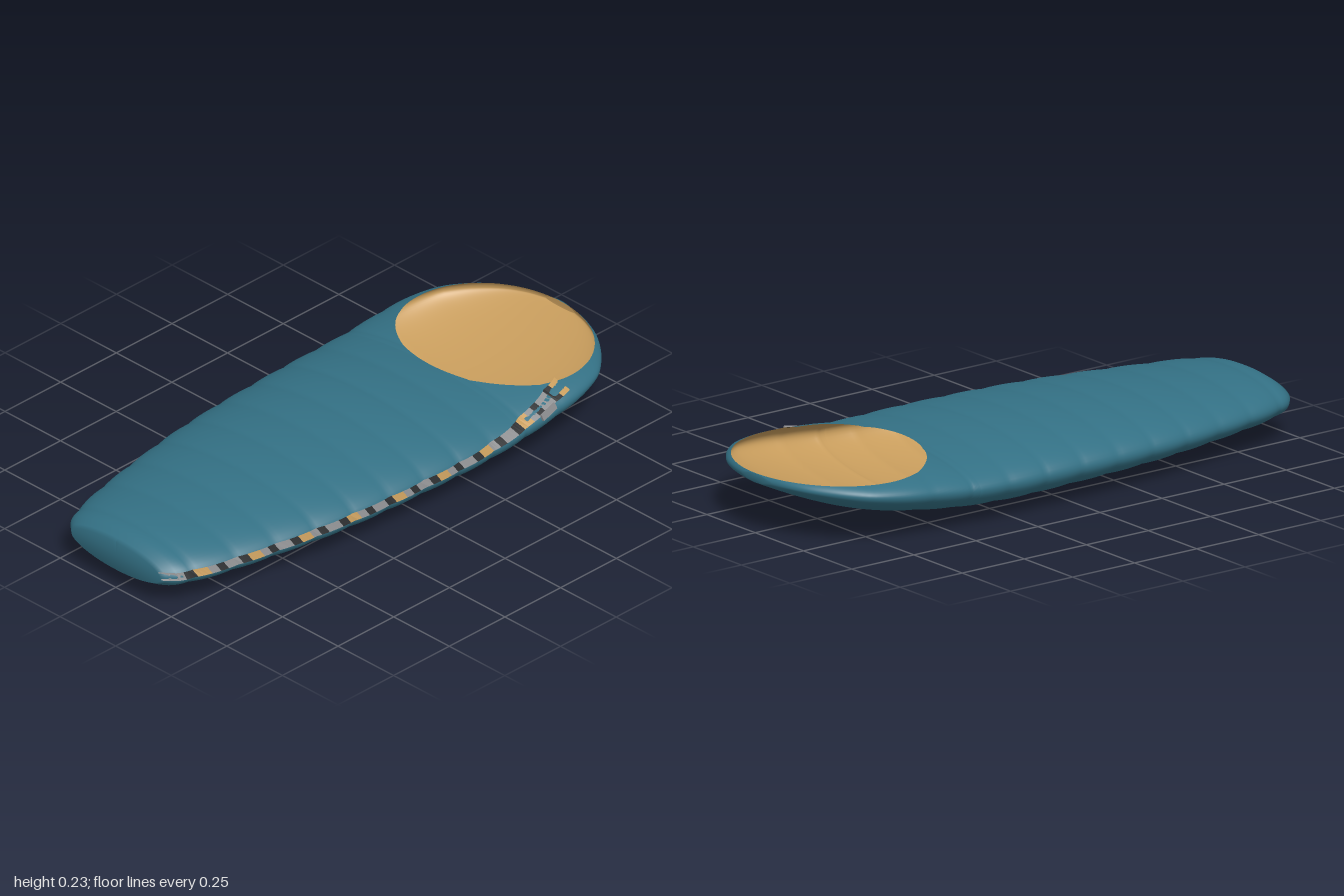
import * as THREE from 'three';

// Profiles along the bag: [z, value], foot (z = 1) to hood (z = -1)
const HALF_WIDTH = [[-1, 0.05], [-0.995, 0.08], [-0.98, 0.14], [-0.95, 0.21], [-0.9, 0.28], [-0.85, 0.33],
  [-0.8, 0.365], [-0.7, 0.395], [-0.6, 0.405], [-0.4, 0.412], [-0.2, 0.412], [0, 0.405], [0.2, 0.395],
  [0.4, 0.375], [0.6, 0.342], [0.8, 0.3], [0.9, 0.27], [0.96, 0.243], [1, 0.2]];
const BOTTOM = [[-1, 0.17], [-0.9, 0.125], [-0.8, 0.088], [-0.7, 0.06], [-0.6, 0.04], [-0.5, 0.025], [-0.4, 0.013],
  [-0.2, 0.003], [0, 0.005], [0.4, 0.014], [0.8, 0.033], [0.9, 0.04], [0.96, 0.05], [1, 0.07]];
const TOP = [[-1, 0.2], [-0.7, 0.2], [-0.6, 0.204], [-0.5, 0.212], [-0.4, 0.222], [-0.2, 0.233], [0, 0.236],
  [0.2, 0.233], [0.4, 0.227], [0.8, 0.21], [0.9, 0.206], [0.96, 0.196], [1, 0.172]];
const MIDDLE = [[-1, 0.185], [-0.8, 0.167], [-0.6, 0.148], [-0.4, 0.13], [-0.2, 0.124], [1, 0.122]];
const ZIP = [[-0.66, 0.196], [-0.5, 0.17], [-0.4, 0.153], [-0.2, 0.137], [0, 0.133], [1, 0.13]];

// Smooth interpolation through a profile
function sample(table, z) {
  let i = 0;
  while (i < table.length - 2 && z > table[i + 1][0]) i++;
  const slope = (a, b) => (table[b][1] - table[a][1]) / (table[b][0] - table[a][0]);
  const [z0, v0] = table[i], [z1, v1] = table[i + 1], d = z1 - z0;
  const m0 = slope(Math.max(i - 1, 0), i + 1) * d;
  const m1 = slope(i, Math.min(i + 2, table.length - 1)) * d;
  const t = THREE.MathUtils.clamp((z - z0) / d, 0, 1), t2 = t * t, t3 = t2 * t;
  return (2 * t3 - 3 * t2 + 1) * v0 + (t3 - 2 * t2 + t) * m0 + (3 * t2 - 2 * t3) * v1 + (t3 - t2) * m1;
}

// Elliptical face opening in the hood
const OPEN = { z: -0.703, length: 0.293, width: 0.34 };
const openFront = OPEN.z + OPEN.length;

// Cross-section at z, optionally inset for the lining
function section(z, inset = 0) {
  const q = (z - OPEN.z) / OPEN.length;
  const hole = Math.abs(q) < 1 ? OPEN.width * Math.sqrt(1 - q * q) : 0;
  const fade = THREE.MathUtils.smoothstep(z, -0.75, -0.45) * (1 - THREE.MathUtils.smoothstep(z, 0.93, 1));
  const valley = fade * (1 - Math.sqrt(Math.abs(Math.sin(Math.PI * (z - 0.01) / 0.15))));
  const quilt = 0.006 * valley;
  const y = sample(MIDDLE, z);
  const w = Math.max(sample(HALF_WIDTH, z) - quilt - inset, hole + 0.006);
  const low = y - sample(BOTTOM, z) - quilt;
  const bottom = Math.max(low - inset, low * 0.4);
  const start = Math.asin(hole / w);
  const drop = inset * THREE.MathUtils.clamp((z - openFront) / 0.1, 0, 1);
  const top = (sample(TOP, z) - quilt - drop - y) / Math.cos(start);
  return { z, y, w, top, bottom, start };
}

// Loft rings along z; the rings are open across the face opening
function loft(zs, inset, inward) {
  const n = 72, row = n + 1, pos = [], index = [], seams = [];
  const rings = zs.map(z => ({ s: 1, ...section(z, inset) }));
  rings.unshift({ ...rings[0], s: 0 });
  rings.push({ ...rings[rings.length - 1], s: 0 });
  rings.forEach((r, i) => {
    for (let j = 0; j <= n; j++) {
      const a = r.start + (2 * Math.PI - 2 * r.start) * j / n, c = Math.cos(a);
      pos.push(r.s * r.w * Math.sin(a), r.y + r.s * c * (c > 0 ? r.top : r.bottom), r.z);
      if (i === rings.length - 1 || j === n) continue;
      const p = i * row + j;
      const quad = [p, p + 1, p + row, p + 1, p + row + 1, p + row];
      index.push(...(inward ? quad.reverse() : quad));
    }
    if (r.start < 1e-4) seams.push(i * row, i * row + n);
  });
  const g = new THREE.BufferGeometry();
  g.setAttribute('position', new THREE.Float32BufferAttribute(pos, 3));
  g.setIndex(index);
  g.computeVertexNormals();
  // Smooth the join along the top centre line
  const nor = g.attributes.normal, v = new THREE.Vector3();
  for (const k of seams) {
    v.fromBufferAttribute(nor, k).setX(0).normalize();
    nor.setXYZ(k, v.x, v.y, v.z);
  }
  return g;
}

// Zip tape: short coloured patches laid on the left side
function zipGeometry() {
  const pos = [], g = new THREE.BufferGeometry();
  const point = (z, side) => {
    const s = section(z);
    const y = sample(ZIP, z) + side * 0.0125;
    const k = (y - s.y) / (y > s.y ? s.top : s.bottom);
    return [s.w * Math.sqrt(Math.max(0, 1 - k * k)) + 0.004, y, z];
  };
  const pattern = [[0, 0.055], [1, 0.032], [2, 0.045], [0, 0.03], [1, 0.028]];
  let z = 0.998;
  for (let i = 0; z > -0.64; i++) {
    const [colour, length] = pattern[i % pattern.length];
    const first = pos.length / 3, steps = 3;
    const end = Math.max(z - length, -0.65);
    for (let k = 0; k < steps; k++) {
      const za = z + (end - z) * k / steps, zb = z + (end - z) * (k + 1) / steps;
      const lean = q => Math.max(q - 0.014 * THREE.MathUtils.smoothstep(0.99 - q, 0, 0.1), -0.66);
      const a = point(za, 1), b = point(lean(za), -1), c = point(lean(zb), -1), d = point(zb, 1);
      pos.push(...a, ...b, ...c, ...a, ...c, ...d);
    }
    g.addGroup(first, pos.length / 3 - first, colour);
    z = end;
  }
  g.setAttribute('position', new THREE.Float32BufferAttribute(pos, 3));
  g.computeVertexNormals();
  return g;
}

export function createModel() {
  const material = (name, color, side = THREE.FrontSide) => {
    const m = new THREE.MeshStandardMaterial({ color, side });
    m.name = name;
    return m;
  };
  const teal = material('teal fabric', 0x337084, THREE.DoubleSide);
  const tan = material('tan lining', 0xc79c5c, THREE.DoubleSide);
  const grey = material('grey zip', 0x8f9092, THREE.DoubleSide);
  const dark = material('dark zip', 0x2c2e30, THREE.DoubleSide);

  const group = new THREE.Group();
  group.name = 'sleepingBag';
  const add = (name, geometry, mat) => {
    const mesh = new THREE.Mesh(geometry, mat);
    mesh.name = name;
    group.add(mesh);
    return mesh;
  };

  // Ring positions: even along the body, bunched at the ends of the opening
  const zs = [];
  for (let i = 0; i < 110; i++) zs.push(1 - (1 - openFront) * i / 110);
  for (let i = 0; i <= 48; i++) zs.push(OPEN.z + OPEN.length * Math.cos(Math.PI * i / 48));
  const shellZs = [...zs, -1];
  const liningZs = zs.filter(z => z < 0.96);

  add('shell', loft(shellZs, 0, false), teal);
  add('lining', loft(liningZs, 0.012, true), tan);
  add('zip', zipGeometry(), [grey, dark, tan]);

  // Zip pull near the hood
  const pull = add('zipPull', new THREE.BoxGeometry(0.008, 0.022, 0.07), grey);
  pull.position.set(0.405, 0.163, -0.54);
  pull.rotation.set(0.2, 0.12, 0.3);
  return group;
}
